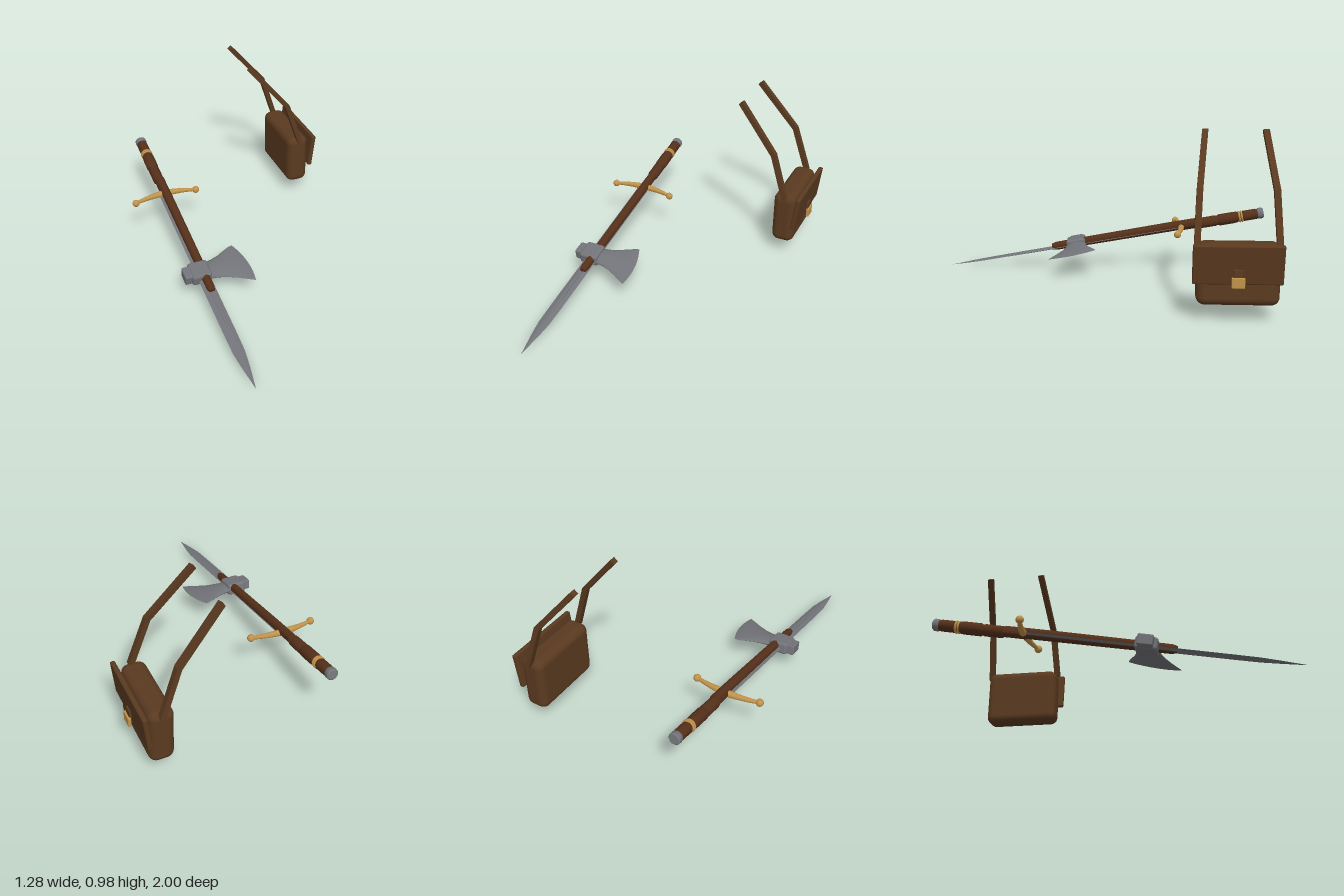
import * as THREE from 'three';
import { toCreasedNormals } from 'three/addons/utils/BufferGeometryUtils.js';
import { RoundedBoxGeometry } from 'three/addons/geometries/RoundedBoxGeometry.js';

const material = (name, color) => {
  const m = new THREE.MeshStandardMaterial({ color });
  m.name = name;
  return m;
};

// Skin over rings of points that run counter-clockwise about the direction of travel
function loft(rings, crease = 0.6) {
  const n = rings[0].length, last = (rings.length - 1) * n, index = [];
  for (let k = 0; k < rings.length - 1; k++) {
    for (let i = 0; i < n; i++) {
      const a = k * n + i, b = k * n + (i + 1) % n;
      index.push(a, b, a + n, b, b + n, a + n);
    }
  }
  for (let i = 1; i < n - 1; i++) index.push(0, i + 1, i, last, last + i, last + i + 1);
  const g = new THREE.BufferGeometry();
  g.setAttribute('position', new THREE.Float32BufferAttribute(rings.flat(2), 3));
  g.setIndex(index);
  return toCreasedNormals(g, crease);
}

// Turned part along z from [radius, z] pairs
function turned(profile, sides = 20) {
  const g = new THREE.LatheGeometry(profile.map(([r, z]) => new THREE.Vector2(r, z)), sides);
  return toCreasedNormals(g.rotateX(Math.PI / 2), 0.6);
}

const circle = (n, f) => Array.from({ length: n }, (_, i) => {
  const a = (i / n) * Math.PI * 2;
  return f(Math.cos(a), Math.sin(a));
});

export function createModel() {
  const steel = material('steel', 0x737479);
  const wood = material('dark wood', 0x55301a);
  const leather = material('brown leather', 0x5a3a20);
  const brass = material('brass', 0xc0924a);

  const model = new THREE.Group();
  const weapon = new THREE.Group();
  const satchel = new THREE.Group();
  weapon.name = 'crossedSwordAndAxe';
  satchel.name = 'satchel';
  model.add(weapon, satchel);

  const add = (parent, name, geometry, mat, x = 0, y = 0, z = 0) => {
    const mesh = new THREE.Mesh(geometry, mat);
    mesh.name = name;
    mesh.position.set(x, y, z);
    parent.add(mesh);
    return mesh;
  };

  // Sword and axe lie along one sloping axis, points toward the front
  weapon.position.set(-0.424, 0.185, 0);
  weapon.rotation.x = 0.183;

  // Blade with a shallow fuller: z, half width, half thickness, fuller half thickness
  const bladeRings = [
    [-0.46, 0.038, 0.009, 0.005], [0.55, 0.036, 0.008, 0.004], [0.64, 0.036, 0.007, 0.007],
    [0.78, 0.034, 0.006, 0.006], [0.88, 0.022, 0.005, 0.005], [1.016, 0.0005, 0.0005, 0.0005],
  ].map(([z, w, t, f]) => {
    const c = w * 0.25;
    return [[w, 0, z], [c, t, z], [0, f, z], [-c, t, z], [-w, 0, z], [-c, -t, z], [0, -f, z], [c, -t, z]];
  });
  add(weapon, 'swordBlade', loft(bladeRings, 0.05), steel);

  // Guard bows toward the point and ends in balls
  const guardRings = [];
  for (let i = 0; i <= 16; i++) {
    const s = i / 8 - 1;
    const r = 0.021 - 0.011 * Math.abs(s);
    const zc = -0.485 + 0.03 * s * s;
    guardRings.push(circle(14, (c, n) => [s * 0.195, r * c, zc + r * n]));
  }
  add(weapon, 'guard', loft(guardRings), brass);
  for (const side of [-1, 1]) {
    add(weapon, 'guardBall', new THREE.SphereGeometry(0.022, 18, 12), brass, side * 0.195, 0, -0.455);
  }

  // Grip with leather-wrapped steps, brass rings and pommel
  add(weapon, 'grip', turned([
    [0, -0.975], [0.03, -0.975], [0.033, -0.96], [0.033, -0.885], [0.029, -0.88], [0.029, -0.85],
    [0.034, -0.845], [0.036, -0.82], [0.036, -0.73], [0.031, -0.722], [0.031, -0.712], [0.034, -0.705],
    [0.033, -0.605], [0.026, -0.6], [0.026, -0.47], [0, -0.47],
  ]), wood);
  for (const z of [-0.873, -0.858]) {
    add(weapon, 'gripRing', new THREE.TorusGeometry(0.031, 0.006, 8, 24), brass, 0, 0, z);
  }
  add(weapon, 'pommel', turned([
    [0, -1.01], [0.028, -1.01], [0.034, -1.003], [0.035, -0.982], [0.031, -0.974], [0.026, -0.966], [0, -0.966],
  ]), steel);

  // Axe haft, thicker toward the grip
  const haft = add(weapon, 'axeHaft', turned([
    [0, -0.6], [0.027, -0.6], [0.028, -0.4], [0.026, 0.1], [0.024, 0.325], [0.018, 0.35], [0, 0.355],
  ]), wood, 0.006, 0.01, 0);
  haft.scale.y = 1.08;

  // Axe head: socket, poll and flared bit
  add(weapon, 'axeSocket', new RoundedBoxGeometry(0.118, 0.074, 0.122, 3, 0.016), steel, -0.013, 0.002, 0.195);
  add(weapon, 'axePoll', new RoundedBoxGeometry(0.07, 0.062, 0.085, 3, 0.008), steel, -0.076, 0.002, 0.195);
  // x, rear z, front z, half thickness, bow, skew
  const bitRings = [
    [0.03, 0.135, 0.255, 0.023, 0, 0], [0.08, 0.125, 0.262, 0.02, 0.002, 0],
    [0.13, 0.107, 0.277, 0.016, 0.005, 0], [0.18, 0.083, 0.303, 0.012, 0.01, 0.005],
    [0.222, 0.065, 0.329, 0.008, 0.016, 0.01], [0.256, 0.058, 0.352, 0.0015, 0.024, 0.019],
  ].map(([x, z0, z1, t, bow, skew]) => circle(28, (c, s) => [
    x + bow * (1 - s * s) + skew * s, t * c, (z0 + z1) / 2 + (z1 - z0) / 2 * s,
  ]));
  add(weapon, 'axeBit', loft(bitRings), steel);

  // Satchel body, tilted flap and clasp
  add(satchel, 'bagBody', new RoundedBoxGeometry(0.14, 0.335, 0.44, 5, 0.045), leather, 0.522, 0.257, -0.735);
  const flap = add(satchel, 'bagFlap', new RoundedBoxGeometry(0.028, 0.216, 0.474, 3, 0.008), leather, 0.607, 0.325, -0.728);
  flap.rotation.z = -0.115;
  add(satchel, 'claspStrap', new RoundedBoxGeometry(0.016, 0.075, 0.05, 2, 0.004), leather, 0.62, 0.265, -0.728);
  add(satchel, 'clasp', new RoundedBoxGeometry(0.018, 0.056, 0.07, 2, 0.004), brass, 0.629, 0.233, -0.728);

  // Bent shoulder straps, leaning toward each other as they rise
  for (const [name, side] of [['frontStrap', 1], ['backStrap', -1]]) {
    const path = [[0.527, 0.4, 0.217], [0.433, 0.685, 0.203], [0.195, 0.97, 0.166]]
      .map(([x, y, z]) => new THREE.Vector3(x, y, -0.735 + side * z));
    const d0 = path[1].clone().sub(path[0]).normalize();
    const d1 = path[2].clone().sub(path[1]).normalize();
    const dirs = [d0, d0.clone().add(d1).normalize(), d1];
    const rings = path.map((p, k) => {
      const ux = -dirs[k].y * 0.015, uy = dirs[k].x * 0.015, v = 0.017;
      return [[1, 1], [-1, 1], [-1, -1], [1, -1]].map(([a, b]) => [p.x + a * ux, p.y + a * uy, p.z + b * v]);
    });
    add(satchel, name, loft(rings, 0.2), leather);
  }
  return model;
}
